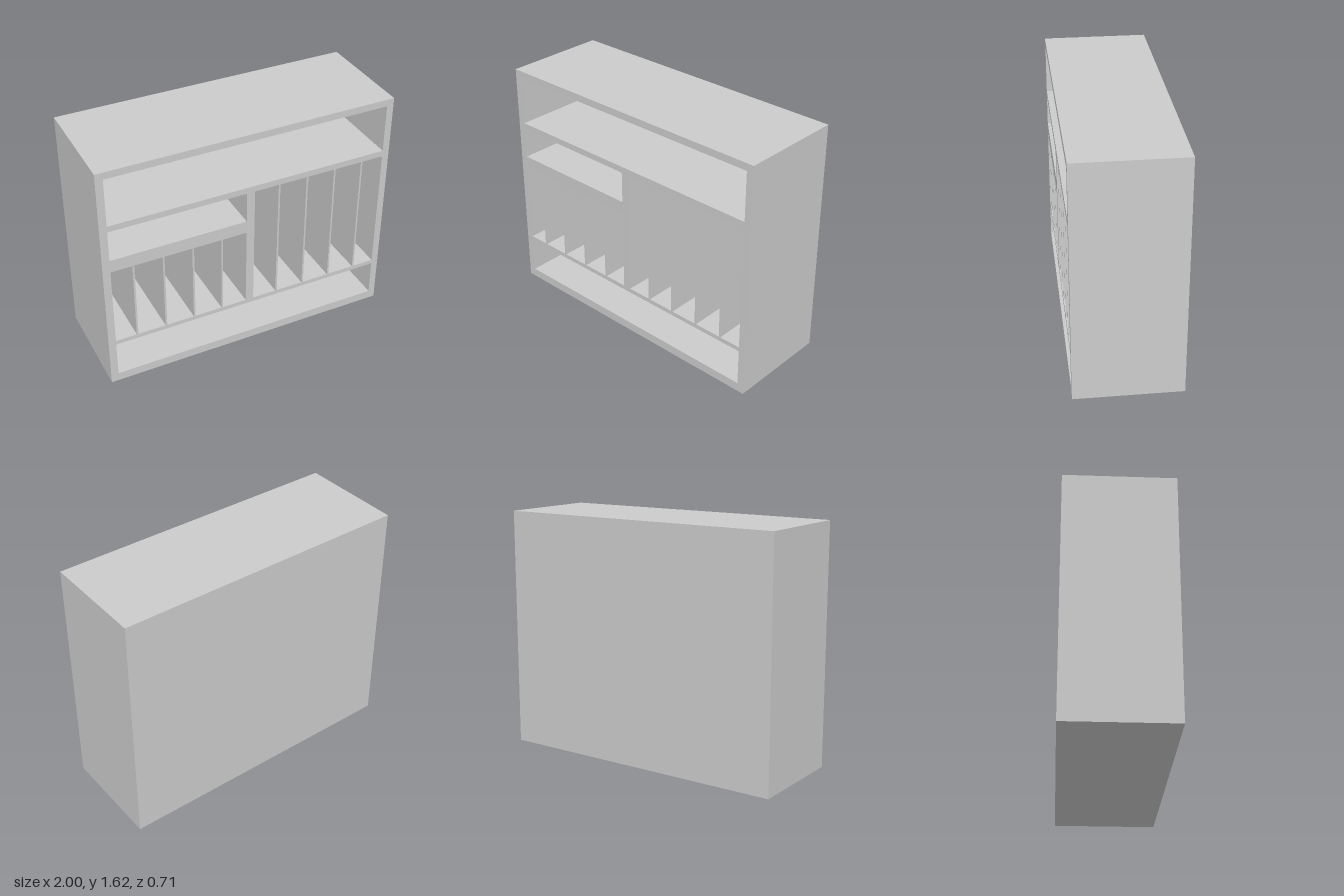
import * as THREE from 'three';

const W = 2, H = 1.615, D = 0.706, BACK = 0.045;

// Rectangle outline from two corners
function rect(Type, x0, x1, y0, y1) {
  const p = new Type();
  p.moveTo(x0, y0);
  p.lineTo(x1, y0);
  p.lineTo(x1, y1);
  p.lineTo(x0, y1);
  p.closePath();
  return p;
}

export function createModel() {
  const group = new THREE.Group();
  group.name = 'shelfUnit';
  const material = new THREE.MeshStandardMaterial({ color: 0xcccccc, flatShading: true });
  const add = (name, geometry, x, y, z) => {
    const mesh = new THREE.Mesh(geometry, material);
    mesh.name = name;
    mesh.position.set(x, y, z);
    group.add(mesh);
  };

  const left = -0.95, right = 0.953, postL = -0.03, postR = 0.025;
  const shelfBottom = 0.94, shelfTop = 0.983;
  const outline = rect(THREE.Shape, -W / 2, W / 2, 0, H);
  const cut = (...r) => outline.holes.push(rect(THREE.Path, ...r));

  // Row of upright slots separated by thin dividers centred on the given x
  const slots = (x0, x1, y0, y1, dividers) => {
    const half = 0.006;
    const starts = [x0, ...dividers.map(d => d + half)];
    const ends = [...dividers.map(d => d - half), x1];
    starts.forEach((s, i) => cut(s, ends[i], y0, y1));
  };

  // Long compartments at the bottom and top
  cut(left, right, 0.06, 0.31);
  cut(left, right, 1.237, 1.567);
  // Small compartment on the upper left, including room for its shelf
  cut(left, postL, shelfBottom, 1.195);
  // Upright slots: short on the left, tall on the right
  slots(left, postL, 0.34, 0.895, [-0.802, -0.602, -0.402, -0.202]);
  slots(postR, right, 0.34, 1.195, [0.198, 0.398, 0.598, 0.798]);

  // Carcass with all compartments
  add('carcass', new THREE.ExtrudeGeometry(outline, { depth: D - BACK, bevelEnabled: false }),
    0, 0, -D / 2 + BACK);

  // Inset shelf of the small compartment
  add('insetShelf', new THREE.BoxGeometry(postL - left, shelfTop - shelfBottom, D - BACK),
    (left + postL) / 2, (shelfBottom + shelfTop) / 2, BACK / 2);

  // Closed back
  add('backPanel', new THREE.BoxGeometry(W, H, BACK), 0, H / 2, -D / 2 + BACK / 2);

  return group;
}
